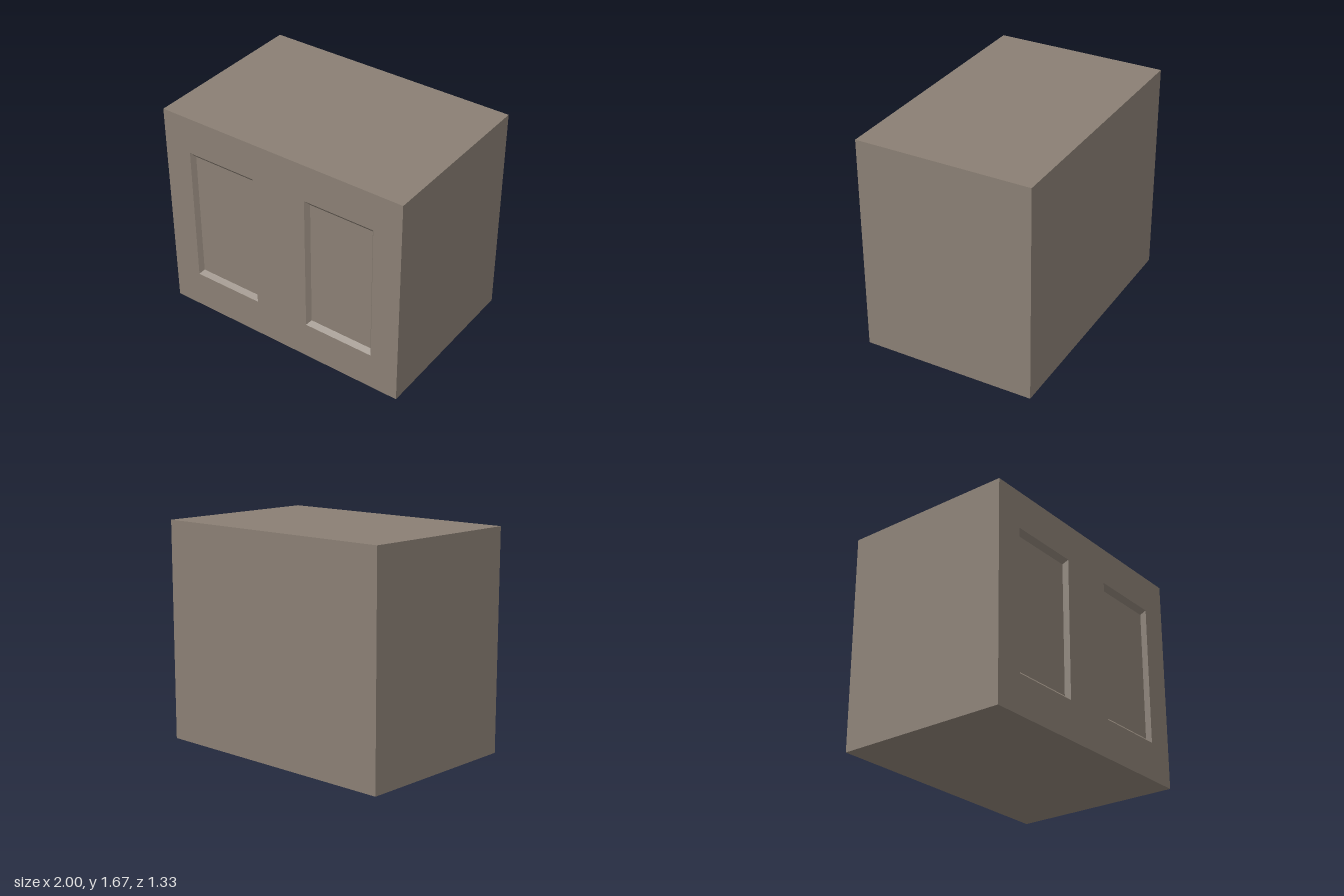
import * as THREE from 'three';

const W = 2, H = 1.667, D = 1.333;
// Recess opening, floor size and depth
const panel = { x: 0.5, y: 0.837, w: 0.56, h: 1.086, innerW: 0.508, innerH: 1.016, innerY: 0.834, depth: 0.033 };

// Box without its +z face
function openBox(w, h, d) {
  const geo = new THREE.BoxGeometry(w, h, d);
  const index = Array.from(geo.index.array);
  index.splice(24, 6);
  geo.setIndex(index);
  geo.clearGroups();
  return geo;
}

// Shallow tray with sloping sides, seen from inside; its opening lies at z = 0
function recessGeometry(p) {
  const geo = openBox(p.w, p.h, p.depth);
  geo.translate(0, 0, -p.depth / 2);
  const pos = geo.attributes.position;
  for (let i = 0; i < pos.count; i++) {
    if (pos.getZ(i) < -p.depth / 2) {
      pos.setX(i, pos.getX(i) * p.innerW / p.w);
      pos.setY(i, pos.getY(i) * p.innerH / p.h + p.innerY - p.y);
    }
  }
  geo.setIndex(Array.from(geo.index.array).reverse());
  geo.computeVertexNormals();
  return geo;
}

function rectangle(path, cx, cy, w, h) {
  path.moveTo(cx - w / 2, cy - h / 2);
  path.lineTo(cx + w / 2, cy - h / 2);
  path.lineTo(cx + w / 2, cy + h / 2);
  path.lineTo(cx - w / 2, cy + h / 2);
  path.closePath();
  return path;
}

export function createModel() {
  const model = new THREE.Group();
  model.name = 'panelledBlock';
  const material = new THREE.MeshStandardMaterial({ color: 0x8a7f74, flatShading: true });
  const add = (name, geometry, x, y, z) => {
    const mesh = new THREE.Mesh(geometry, material);
    mesh.name = name;
    mesh.position.set(x, y, z);
    model.add(mesh);
  };

  // Top, bottom, sides and back
  add('body', openBox(W, H, D), 0, H / 2, 0);

  // Front wall with two openings
  const front = rectangle(new THREE.Shape(), 0, H / 2, W, H);
  for (const side of [-1, 1]) {
    front.holes.push(rectangle(new THREE.Path(), side * panel.x, panel.y, panel.w, panel.h));
  }
  add('frontWall', new THREE.ShapeGeometry(front), 0, 0, D / 2);

  // Bevelled recessed panels
  const recess = recessGeometry(panel);
  for (const side of [-1, 1]) {
    add(side > 0 ? 'leftRecessedPanel' : 'rightRecessedPanel', recess, side * panel.x, panel.y, D / 2);
  }
  return model;
}
